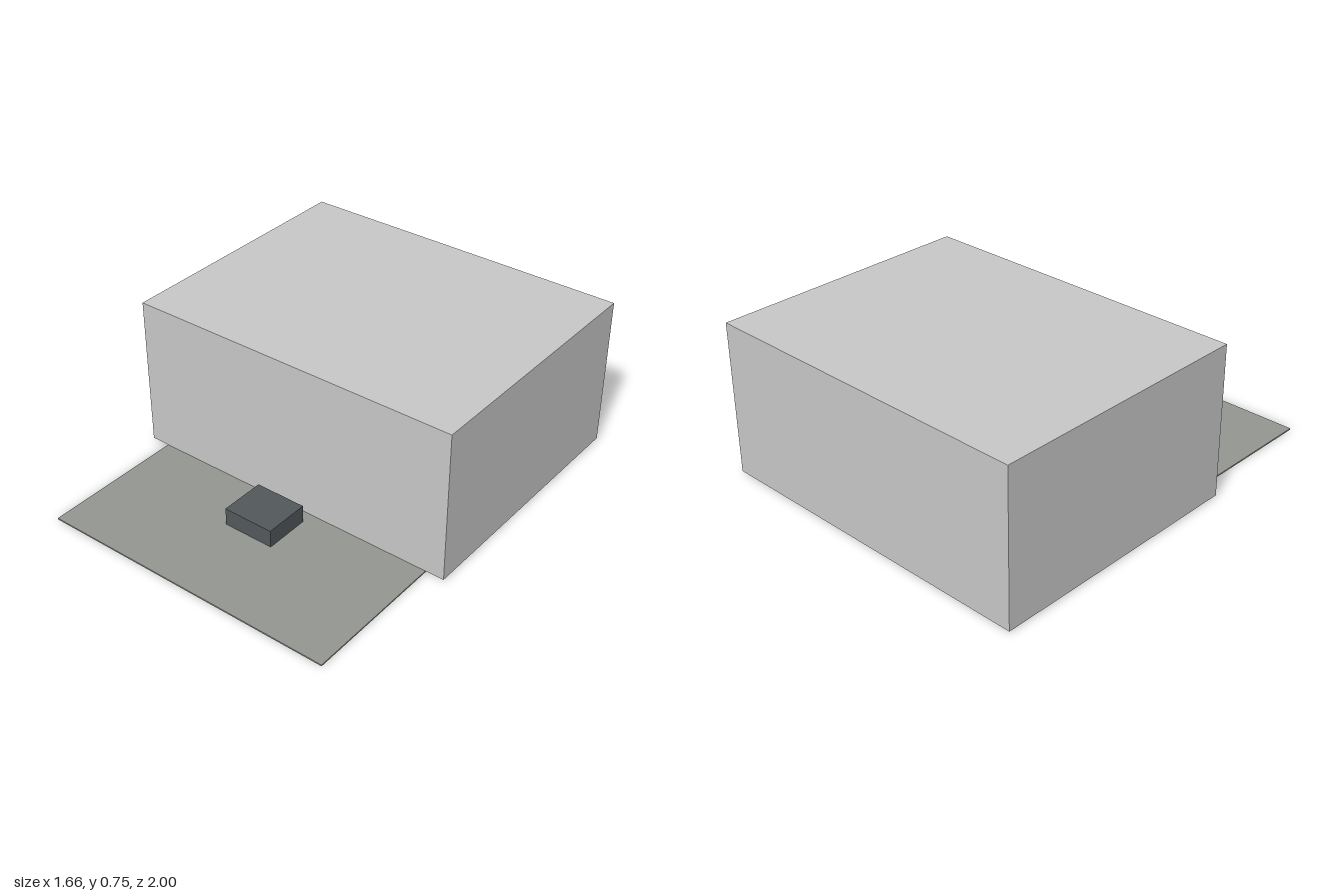
import * as THREE from 'three';

const material = (name, color) => {
  const m = new THREE.MeshStandardMaterial({ color });
  m.name = name;
  return m;
};

// Box given by its width (centred on x) and its y and z extents
function block(name, width, [y0, y1], [z0, z1], mat) {
  const mesh = new THREE.Mesh(new THREE.BoxGeometry(width, y1 - y0, z1 - z0), mat);
  mesh.position.set(0, (y0 + y1) / 2, (z0 + z1) / 2);
  mesh.name = name;
  return mesh;
}

export function createModel() {
  const lightGrey = material('light grey', 0xc8c8c8);
  const stoneGrey = material('stone grey', 0x949691);
  const slate = material('slate', 0x53585b);

  const model = new THREE.Group();
  model.name = 'boxOnPlate';
  const plateTop = 0.007;
  model.add(
    // Thin ground plate reaching partly under the main block
    block('basePlate', 1.48, [0, plateTop], [-0.48, 1], stoneGrey),
    // Large main block
    block('mainBlock', 1.664, [plateTop, 0.747], [-1, 0.295], lightGrey),
    // Small block standing on the plate in front
    block('smallBlock', 0.254, [plateTop, 0.093], [0.353, 0.575], slate),
  );
  return model;
}
